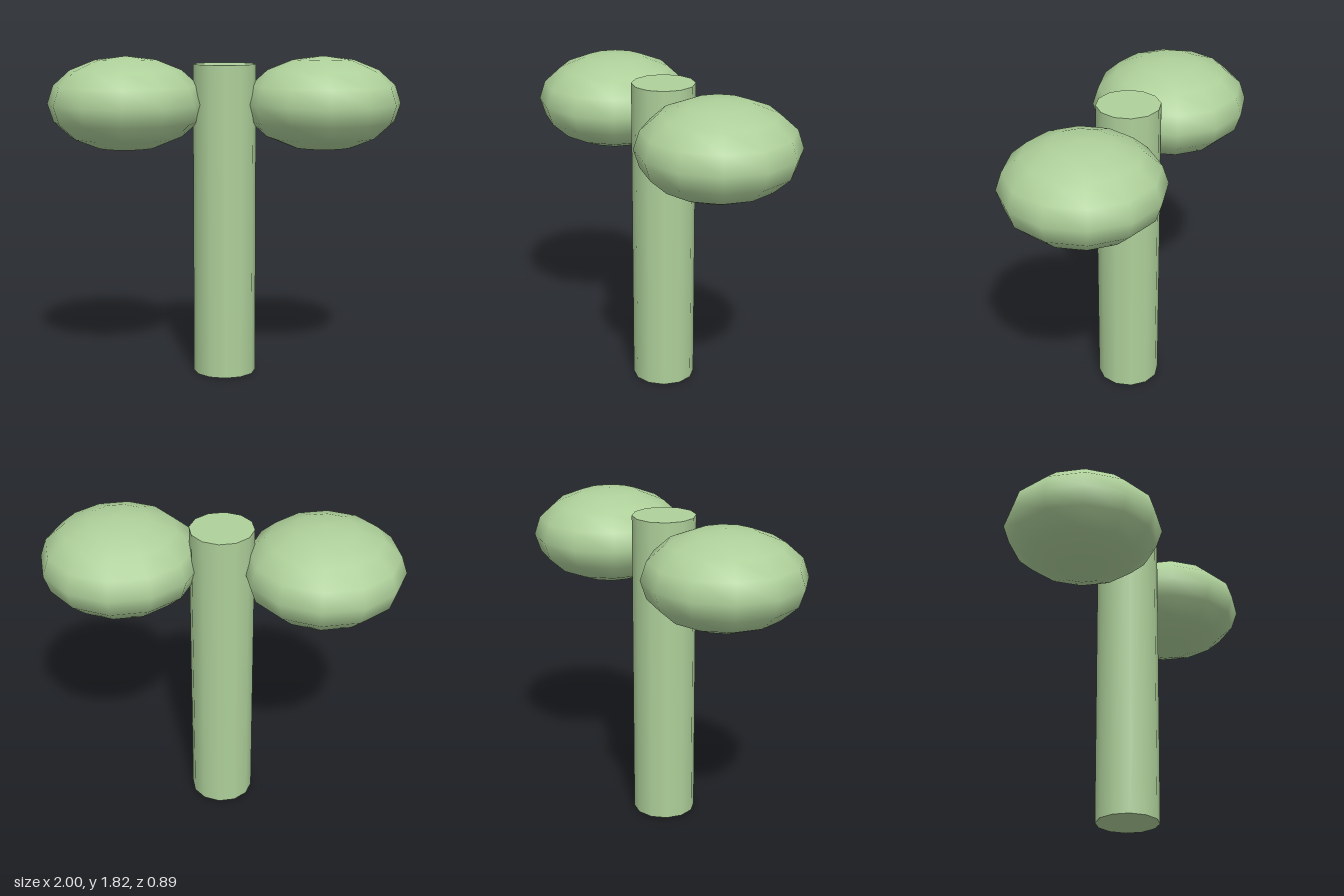
import * as THREE from 'three';

export function createModel() {
  const group = new THREE.Group();
  const leafGreen = new THREE.MeshStandardMaterial({ color: 0xaed09a });
  leafGreen.name = 'leafGreen';

  // Upright stem
  const stemRadius = 0.178, stemHeight = 1.78;
  const stem = new THREE.Mesh(
    new THREE.CylinderGeometry(stemRadius, stemRadius, stemHeight, 12), leafGreen);
  stem.name = 'stem';
  stem.position.y = stemHeight / 2;
  group.add(stem);

  // Flattened leaf pods, one on each side of the stem
  const podRadius = 0.4445;
  const podGeometry = new THREE.SphereGeometry(podRadius, 12, 8).scale(1, 0.6, 1);
  for (const [side, name] of [[1, 'leftLeaf'], [-1, 'rightLeaf']]) {
    const leaf = new THREE.Mesh(podGeometry, leafGreen);
    leaf.name = name;
    leaf.position.set(side * (1 - podRadius), 1.558, 0);
    group.add(leaf);
  }
  return group;
}
